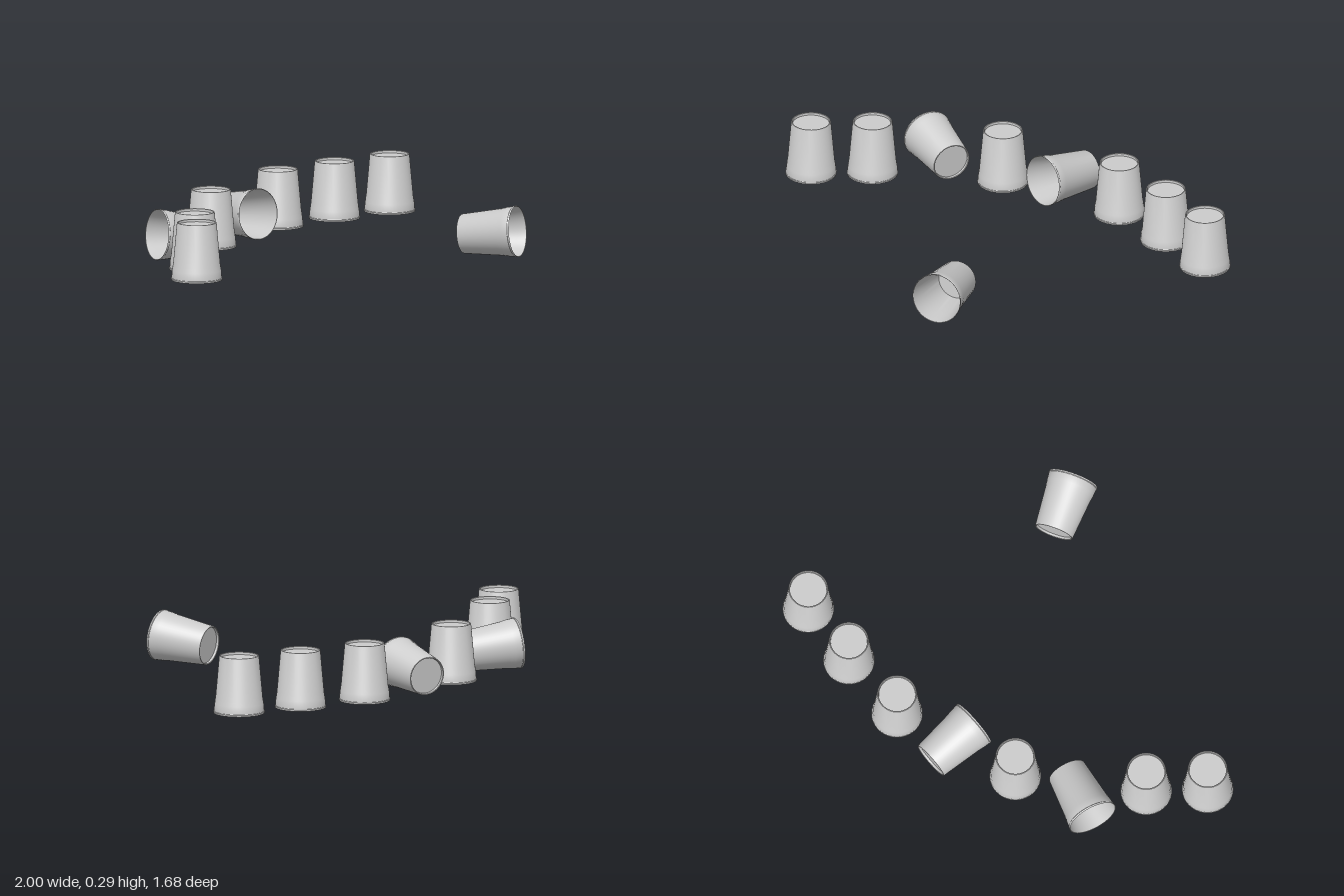
import * as THREE from 'three';
import { toCreasedNormals } from 'three/addons/utils/BufferGeometryUtils.js';

const HEIGHT = 0.29, RIM = 0.128, BASE = 0.099;

// Cup standing upside down: rim at y = 0, recessed base on top
function cupGeometry() {
  const profile = [
    [0, 0.272], [0.093, 0.272], [0.116, 0.07], [0.119, 0.05], [0.1235, 0.01], // inside
    [0.125, 0.001], [0.1265, 0], [0.128, 0.003], [0.128, 0.009], [0.1255, 0.012], // rolled lip
    [0.1225, 0.05], [0.121, 0.053], [0.1195, 0.069], [0.118, 0.072], // stepped band
    [0.099, 0.285], [0.0975, 0.289], [0.095, 0.29], // foot edge
    [0.092, 0.288], [0.091, 0.276], [0, 0.276], // recessed base
  ].map(([r, y]) => new THREE.Vector2(r, y));
  return toCreasedNormals(new THREE.LatheGeometry(profile, 48), 0.5);
}

export function createModel() {
  const group = new THREE.Group();
  const geometry = cupGeometry();
  const material = new THREE.MeshStandardMaterial({ color: 0xcccccc, side: THREE.DoubleSide });

  function addCup(name, x, y, z) {
    const cup = new THREE.Mesh(geometry, material);
    cup.name = name;
    cup.position.set(x, y, z);
    group.add(cup);
    return cup;
  }

  // Upside-down cups along the arc: x, z
  const standing = [
    [-0.872, 0.638], [-0.745, 0.36], [-0.385, -0.188],
    [0.174, -0.567], [0.532, -0.656], [0.867, -0.715],
  ];
  standing.forEach(([x, z], i) => addCup(`standingCup${i + 1}`, x, 0, z));

  // Tipped cups resting on their sides: rim centre x, z and base centre x, z
  const tilt = Math.atan((RIM - BASE) / HEIGHT);
  const up = new THREE.Vector3(0, 1, 0);
  const fallen = [
    [-0.796, 0.038, -0.508, 0.036],
    [-0.083, -0.266, -0.157, -0.546],
    [0.853, 0.75, 0.655, 0.543],
  ];
  fallen.forEach(([rx, rz, bx, bz], i) => {
    const axis = new THREE.Vector3(bx - rx, 0, bz - rz).normalize().multiplyScalar(Math.cos(tilt));
    axis.y = -Math.sin(tilt);
    const cup = addCup(`fallenCup${i + 1}`, rx, RIM * Math.cos(tilt), rz);
    cup.quaternion.setFromUnitVectors(up, axis);
  });

  return group;
}
